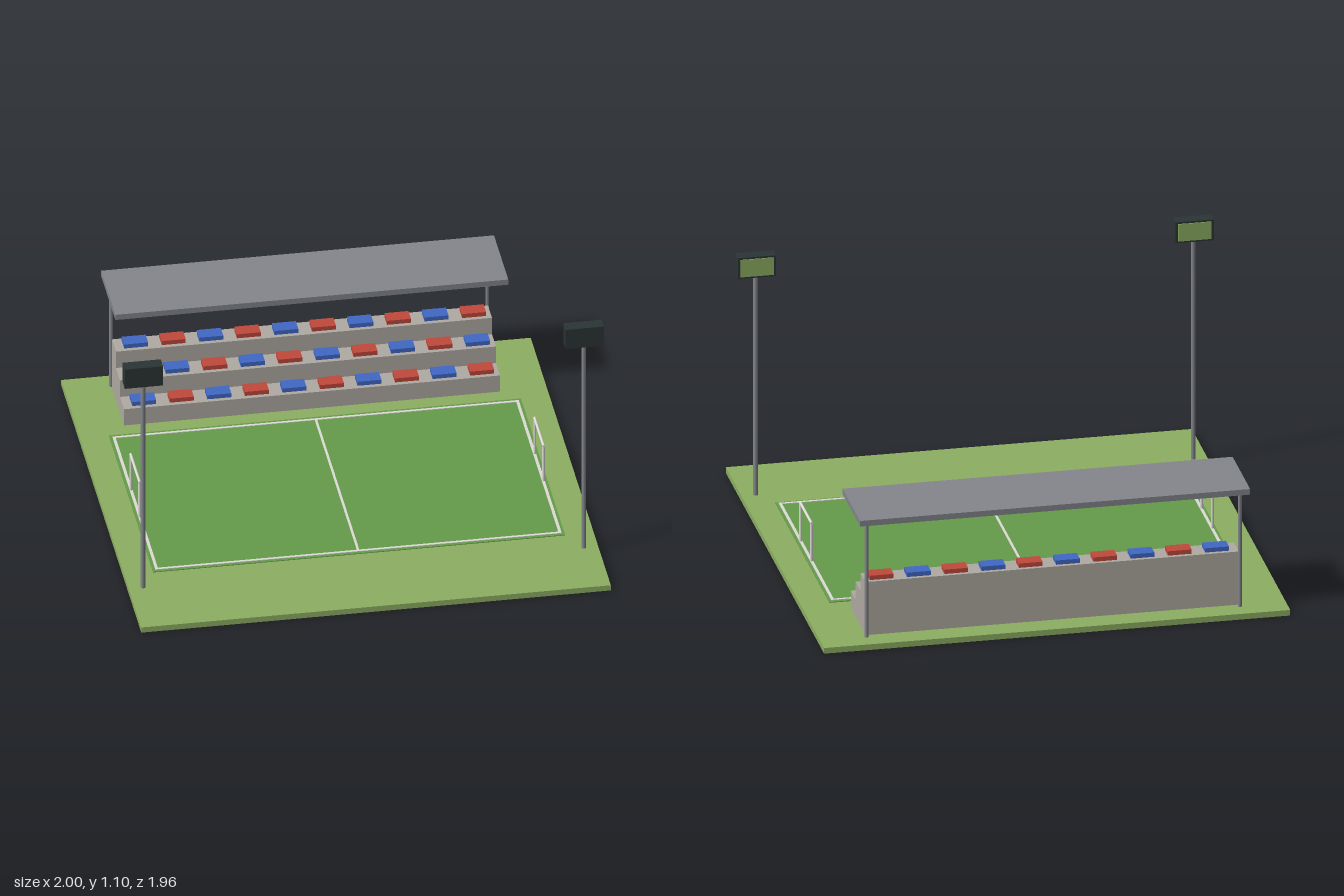
import * as THREE from 'three';

const mat = (name, color) => {
  const m = new THREE.MeshStandardMaterial({ color });
  m.name = name;
  return m;
};

export function createModel() {
  const root = new THREE.Group();
  root.name = 'sportsGround';

  const grass = mat('grass', 0x8dae62);
  const turf = mat('pitch turf', 0x659b4a);
  const white = mat('line white', 0xdedcd6);
  const concrete = mat('concrete', 0xb0aaa2);
  const steel = mat('steel', 0x84868c);
  const red = mat('seat red', 0xc0483c);
  const blue = mat('seat blue', 0x4068c4);
  const dark = mat('lamp housing', 0x2b3535);

  const add = (parent, name, geometry, material, x, y, z) => {
    const mesh = new THREE.Mesh(geometry, material);
    mesh.name = name;
    mesh.position.set(x, y, z);
    parent.add(mesh);
    return mesh;
  };
  // Box given by its extents on each axis
  const box = (parent, name, material, [x0, x1], [y0, y1], [z0, z1]) =>
    add(parent, name, new THREE.BoxGeometry(x1 - x0, y1 - y0, z1 - z0), material,
      (x0 + x1) / 2, (y0 + y1) / 2, (z0 + z1) / 2);
  // Upright round post
  const post = (parent, name, material, r, x, z, y0, y1) =>
    add(parent, name, new THREE.CylinderGeometry(r, r, y1 - y0, 12), material, x, (y0 + y1) / 2, z);
  const group = (name) => {
    const g = new THREE.Group();
    g.name = name;
    root.add(g);
    return g;
  };

  const G = 0.025; // ground level

  // Ground and pitch
  box(root, 'ground', grass, [-0.98, 0.98], [0, G], [-0.98, 0.98]);
  box(root, 'pitch', turf, [-0.86, 0.86], [G - 0.002, G + 0.003], [-0.515, 0.565]);

  // Pitch markings
  const lines = group('pitchLines');
  const lineY = [G + 0.001, G + 0.006];
  for (const z of [-0.494, 0.546])
    box(lines, 'touchLine', white, [-0.848, 0.848], lineY, [z - 0.006, z + 0.006]);
  for (const x of [-0.842, 0.842])
    box(lines, 'goalLine', white, [x - 0.006, x + 0.006], lineY, [-0.488, 0.54]);
  box(lines, 'halfwayLine', white, [-0.005, 0.005], lineY, [-0.488, 0.54]);

  // Goals at both ends
  for (const s of [-1, 1]) {
    const goal = group(s > 0 ? 'leftGoal' : 'rightGoal');
    const x = s * 0.843;
    for (const z of [-0.077, 0.137]) post(goal, 'goalPost', white, 0.006, x, z, G, 0.2);
    const bar = add(goal, 'crossbar', new THREE.CylinderGeometry(0.006, 0.006, 0.226, 12), white, x, 0.2, 0.03);
    bar.rotation.x = Math.PI / 2;
  }

  // Stepped stand
  const stand = group('grandstand');
  const steps = [{ z: 0.587, y: 0.103 }, { z: 0.685, y: 0.183 }, { z: 0.783, y: 0.262 }];
  const back = 0.881;
  const profile = new THREE.Shape();
  profile.moveTo(steps[0].z, G - 0.002);
  profile.lineTo(back, G - 0.002);
  profile.lineTo(back, steps[2].y);
  for (let i = 2; i >= 0; i--) {
    profile.lineTo(steps[i].z, steps[i].y);
    if (i > 0) profile.lineTo(steps[i].z, steps[i - 1].y);
  }
  const tiers = new THREE.ExtrudeGeometry(profile, { depth: 1.57, bevelEnabled: false });
  tiers.rotateY(Math.PI / 2);
  add(stand, 'tiers', tiers, concrete, -0.785, 0, 0);

  // Seats in alternating colours
  const seat = new THREE.BoxGeometry(0.1, 0.02, 0.062);
  steps.forEach((step, row) => {
    for (let i = 0; i < 10; i++)
      add(stand, 'seat', seat, (row + i) % 2 ? red : blue, -0.697 + i * 0.1567, step.y + 0.009, -step.z - 0.05);
  });

  // Roof on two rear posts
  box(stand, 'roof', steel, [-0.82, 0.82], [0.537, 0.562], [-0.94, -0.59]);
  for (const s of [-1, 1]) post(stand, 'roofPost', steel, 0.008, s * 0.785, -0.9, G, 0.54);

  // Floodlights facing the pitch
  for (const s of [-1, 1]) {
    const light = group(s > 0 ? 'leftFloodlight' : 'rightFloodlight');
    const x = s * 0.92;
    post(light, 'mast', steel, 0.01, x, 0.67, G, 1.01);
    box(light, 'lampHousing', dark, [x - 0.08, x + 0.08], [1.007, 1.1], [0.638, 0.693]);
    box(light, 'lampPanel', grass, [x - 0.07, x + 0.07], [1.015, 1.092], [0.634, 0.64]);
  }

  return root;
}
